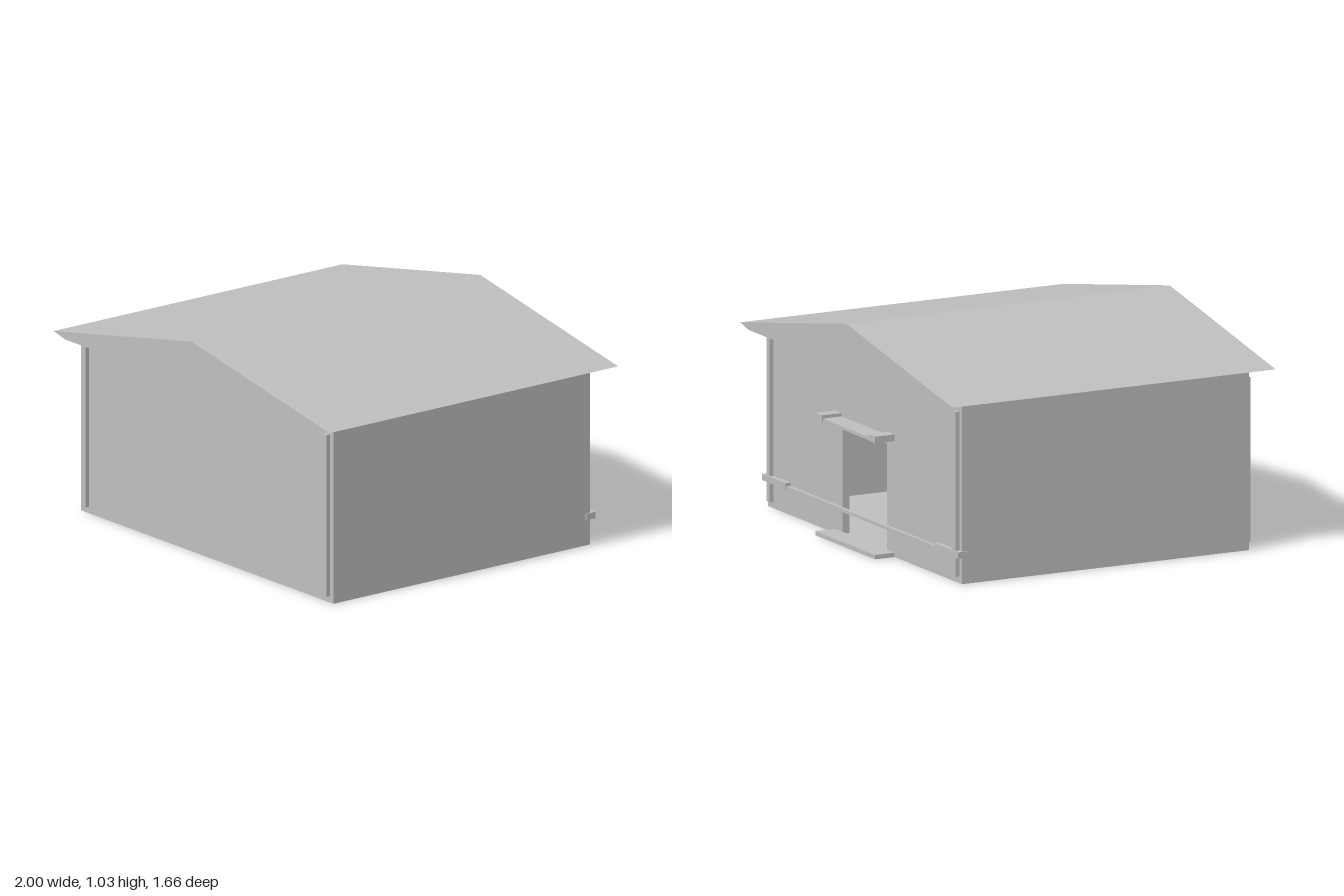
import * as THREE from 'three';

export function createModel() {
  const model = new THREE.Group();
  model.name = 'shed';
  const grey = new THREE.MeshStandardMaterial({ color: 0xbfbfbf });
  grey.name = 'plain grey';

  // Box given by its minimum and maximum on each axis
  function box(name, x0, x1, y0, y1, z0, z1) {
    const mesh = new THREE.Mesh(new THREE.BoxGeometry(x1 - x0, y1 - y0, z1 - z0), grey);
    mesh.position.set((x0 + x1) / 2, (y0 + y1) / 2, (z0 + z1) / 2);
    mesh.name = name;
    model.add(mesh);
  }

  // Outline swept along z
  function sweep(name, shape, z0, z1) {
    const geometry = new THREE.ExtrudeGeometry(shape, { depth: z1 - z0, bevelEnabled: false });
    geometry.translate(0, 0, z0);
    const mesh = new THREE.Mesh(geometry, grey);
    mesh.name = name;
    model.add(mesh);
  }

  const outline = (points) => new THREE.Shape(points.map(([x, y]) => new THREE.Vector2(x, y)));

  const W = 0.915, FRONT = 0.74, BACK = -0.73, T = 0.035, FLOOR = 0.01, EAVE = 0.82;

  // Hollow body: floor, front and side walls
  box('floor', -W, W, 0, FLOOR, BACK, FRONT);
  box('frontWall', -W, W, FLOOR, EAVE, FRONT - T, FRONT);
  box('rightWall', -W, -W + T, FLOOR, EAVE, BACK + T, FRONT - T);
  box('leftWall', W - T, W, FLOOR, EAVE, BACK + T, FRONT - T);

  // Back wall with an open doorway
  sweep('backWall', outline([
    [-W, FLOOR], [-0.21, FLOOR], [-0.21, 0.51], [0.21, 0.51],
    [0.21, FLOOR], [W, FLOOR], [W, EAVE], [-W, EAVE],
  ]), BACK, BACK + T);

  // Solid gable roof with undercut eaves
  sweep('roof', outline([
    [-0.92, EAVE], [0.92, EAVE], [1, 0.84], [0, 1.03], [-1, 0.84],
  ]), -0.825, 0.83);

  // Doorstep and canopy board
  box('doorstep', -0.28, 0.28, 0, 0.02, -0.83, BACK);
  box('canopy', -0.22, 0.22, 0.535, 0.55, -0.825, BACK);

  // Low rail across the back
  box('rail', -0.7, 0.7, 0.12, 0.135, -0.75, BACK);

  for (const side of [-1, 1]) {
    const pair = (name, a, b, ...rest) =>
      box(name, Math.min(side * a, side * b), Math.max(side * a, side * b), ...rest);
    pair('frontPost', 0.86, 0.89, 0.03, 0.79, FRONT, 0.76);
    pair('backPost', 0.86, 0.89, 0.03, 0.79, -0.75, BACK);
    pair('canopyEnd', 0.22, 0.28, 0.535, 0.565, -0.83, BACK);
    pair('railEnd', 0.7, 0.922, 0.12, 0.15, -0.755, -0.705);
  }
  return model;
}
